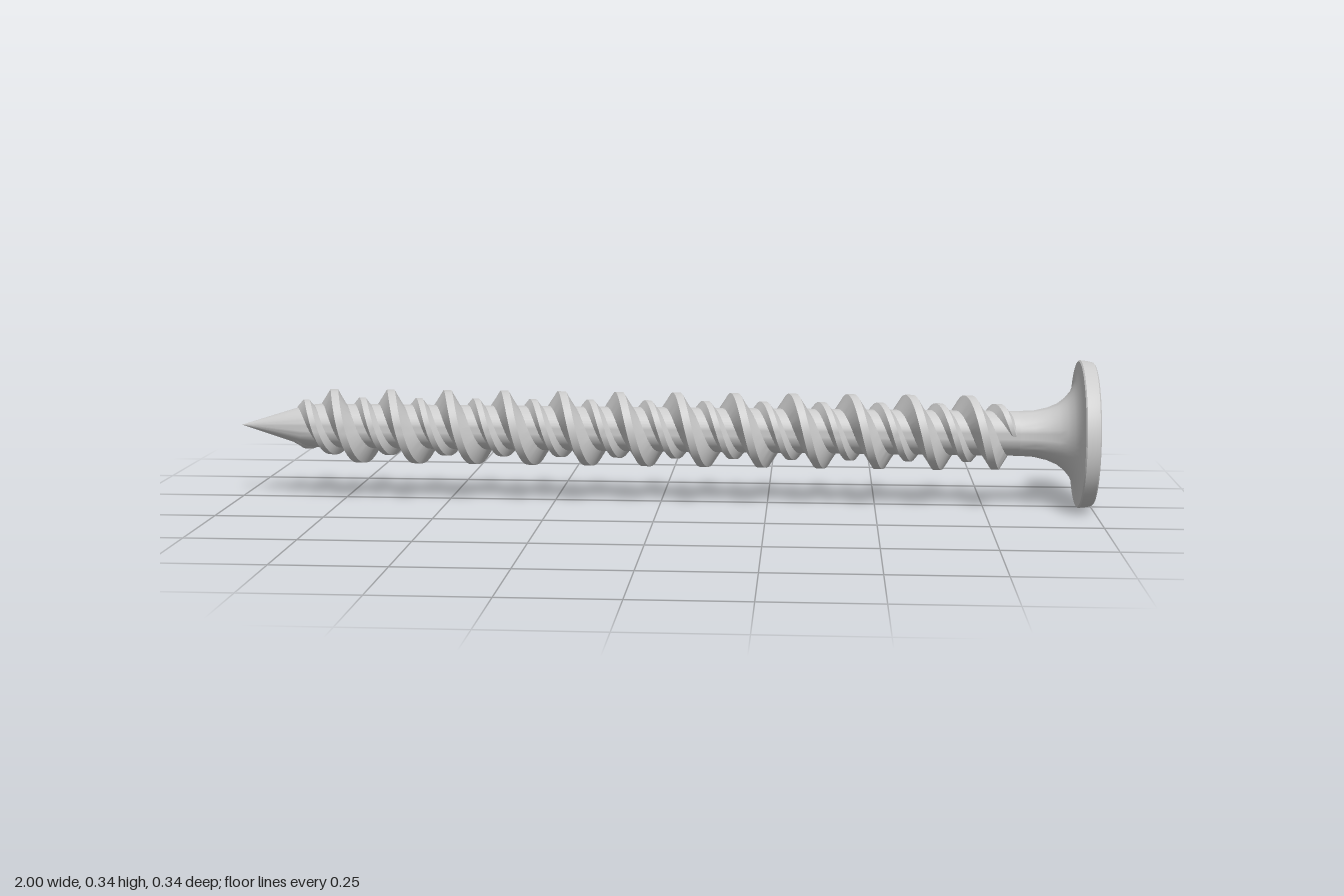
import * as THREE from 'three';
import { toCreasedNormals } from 'three/addons/utils/BufferGeometryUtils.js';

const CY = 0.171;     // height of the screw axis
const PITCH = 0.1355;
const CORE = 0.052;

// Point at angle a (from up towards the front), radius r and station x along the screw
const polar = (r, a, x) => [-r * Math.cos(a), x, r * Math.sin(a)];

// Skin a list of equally long rows of points
function loft(rows) {
  const n = rows[0].length, index = [];
  for (let i = 0; i < rows.length - 1; i++) {
    for (let j = 0; j < n - 1; j++) {
      const a = i * n + j, b = a + 1, d = a + n, c = d + 1;
      index.push(a, d, b, d, c, b);
    }
  }
  const g = new THREE.BufferGeometry();
  g.setAttribute('position', new THREE.Float32BufferAttribute(rows.flat(2), 3));
  g.setIndex(index);
  return toCreasedNormals(g, 0.6);
}

// Helical ridge with a trapezoid section, fading into the core at both ends
function threadGeometry(start, end, phaseX, radius, base, crest) {
  const perTurn = 36, count = Math.round((end - start) / PITCH * perTurn);
  const rows = [];
  for (let i = 0; i <= count; i++) {
    const x = start + (end - start) * i / count;
    const a = (x - phaseX) / PITCH * Math.PI * 2;
    const fade = Math.min(1, (x - start) / 0.06, (end - x) / 0.035);
    const low = 0.043, high = low + (radius - low) * fade;
    const w = base * (0.4 + 0.6 * fade), c = crest * (0.4 + 0.6 * fade);
    rows.push([[low, -w], [high, -c], [high, c], [low, w]].map(([r, dx]) => polar(r, a, x + dx)));
  }
  return loft(rows);
}

// Closed outline of the cross recess as [radius, angle] pairs
function crossOutline(endHalf, neckHalf, neck) {
  const R = 0.135, pts = [];
  const tip = [R * Math.cos(Math.asin(endHalf / R)), endHalf];
  const line = (p, q, steps, turn) => {
    for (let k = 0; k < steps; k++) {
      const u = p[0] + (q[0] - p[0]) * k / steps, v = p[1] + (q[1] - p[1]) * k / steps;
      pts.push([Math.hypot(u, v), Math.atan2(v, u) + turn]);
    }
  };
  for (let arm = 0; arm < 4; arm++) {
    const turn = arm * Math.PI / 2, half = Math.asin(endHalf / R);
    for (let k = 0; k < 4; k++) pts.push([R, turn - half + 2 * half * k / 4]);
    line(tip, [neck, neckHalf], 5, turn);
    line([neck, neckHalf], [neckHalf, neck], 6, turn);
    line([neckHalf, neck], [endHalf, tip[0]], 5, turn);
  }
  pts.push([pts[0][0], pts[0][1] + Math.PI * 2]);
  return pts;
}

export function createModel() {
  const model = new THREE.Group();
  model.name = 'screw';
  const screw = new THREE.Group();
  screw.name = 'screwBody';
  screw.rotation.z = -Math.PI / 2;
  screw.position.y = CY;
  model.add(screw);

  const material = new THREE.MeshStandardMaterial({ color: 0xcccccc });
  const add = (name, geometry) => {
    const mesh = new THREE.Mesh(geometry, material);
    mesh.name = name;
    screw.add(mesh);
  };
  const lathe = (points) => toCreasedNormals(
    new THREE.LatheGeometry(points.map(([r, x]) => new THREE.Vector2(r, x)), 48), 0.5);

  // Pointed tip and shank core
  add('shank', lathe([[0, -1], [0.047, -0.85], [CORE, -0.81], [CORE, 0.84]]));

  // Flared head with a slightly bevelled rim
  add('head', lathe([
    [CORE, 0.83], [0.054, 0.865], [0.061, 0.895], [0.071, 0.918], [0.084, 0.935],
    [0.101, 0.949], [0.122, 0.958], [0.145, 0.963], [0.168, 0.965],
    [0.171, 0.968], [0.169, 0.985], [0.166, 0.997], [0.162, 1],
  ]));

  // Alternating tall and short threads, half a pitch apart
  add('tallThread', threadGeometry(-0.86, 0.81, -0.775, 0.087, 0.034, 0.009));
  add('shortThread', threadGeometry(-0.89, 0.83, -0.775 + PITCH / 2, 0.068, 0.025, 0.007));

  // Flat head face with the cross cut out
  const rim = crossOutline(0.025, 0.019, 0.062);
  const face = new THREE.Shape().absarc(0, 0, 0.162, 0, Math.PI * 2);
  face.holes.push(new THREE.Path(
    rim.slice(0, -1).map(([r, a]) => new THREE.Vector2(r * Math.cos(a), r * Math.sin(a))).reverse()));
  add('headFace', new THREE.ShapeGeometry(face, 24).rotateX(-Math.PI / 2).translate(0, 1, 0));

  // Recess: small flat bottom, conical floor and tapered walls
  const floor = crossOutline(0.022, 0.016, 0.056);
  const depth = (r) => 0.1 * (0.135 - r) / 0.115;
  add('crossRecess', loft([
    floor.map(([, a]) => polar(0, a, 0.9)),
    floor.map(([, a]) => polar(0.02, a, 0.9)),
    floor.map(([r, a]) => polar(r, a, 1 - depth(r))),
    rim.map(([r, a]) => polar(r, a, 1)),
  ]));

  return model;
}
